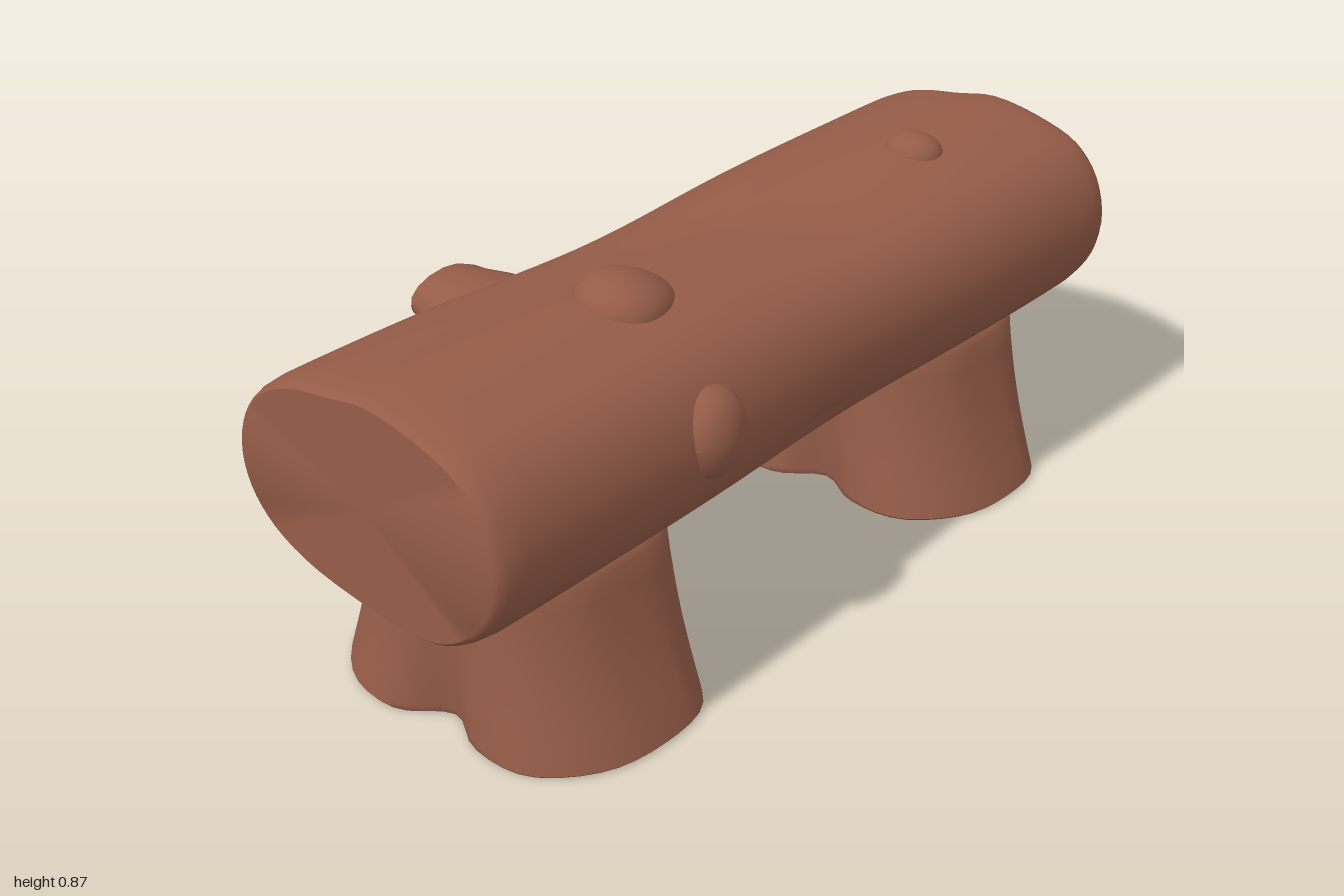
import * as THREE from 'three';
import { toCreasedNormals } from 'three/addons/utils/BufferGeometryUtils.js';

// Closed smooth outline through a few [a, b] points, resampled to n points
function outline(points, n) {
  const curve = new THREE.CatmullRomCurve3(points.map(([a, b]) => new THREE.Vector3(a, b, 0)), true);
  return Array.from({ length: n }, (_, i) => curve.getPoint(i / n));
}

// Skin a list of rings (equal numbers of Vector3) and cap both ends
function loft(rings, crease = 0.7) {
  const n = rings[0].length, pos = [], idx = [];
  for (const ring of rings) for (const p of ring) pos.push(p.x, p.y, p.z);
  for (let r = 0; r < rings.length - 1; r++) {
    for (let i = 0; i < n; i++) {
      const a = r * n + i, b = r * n + (i + 1) % n;
      idx.push(a, b, a + n, b, b + n, a + n);
    }
  }
  const cap = (start, ring, flip) => {
    const c = ring.reduce((s, p) => s.add(p), new THREE.Vector3()).divideScalar(n);
    const k = pos.length / 3;
    pos.push(c.x, c.y, c.z);
    for (let i = 0; i < n; i++) {
      const a = start + i, b = start + (i + 1) % n;
      if (flip) idx.push(k, b, a); else idx.push(k, a, b);
    }
  };
  cap(0, rings[0], true);
  cap((rings.length - 1) * n, rings[rings.length - 1], false);

  // Turn the faces outward if the enclosed volume is negative
  const v = (i) => new THREE.Vector3(pos[3 * i], pos[3 * i + 1], pos[3 * i + 2]);
  let volume = 0;
  for (let i = 0; i < idx.length; i += 3) volume += v(idx[i]).dot(v(idx[i + 1]).cross(v(idx[i + 2])));
  if (volume < 0) idx.reverse();

  const geo = new THREE.BufferGeometry();
  geo.setAttribute('position', new THREE.Float32BufferAttribute(pos, 3));
  geo.setIndex(idx);
  return toCreasedNormals(geo, crease);
}

const bump = (x, centre, width) => Math.exp(-(((x - centre) / width) ** 2));

// Log: an uneven oval section run along x, with a slight waist and dents
function logGeometry() {
  const section = outline([
    [0.03, 0.825], [0.18, 0.803], [0.28, 0.765], [0.34, 0.7], [0.37, 0.6], [0.355, 0.505],
    [0.3, 0.42], [0.21, 0.355], [0.1, 0.332], [0, 0.335], [-0.2, 0.362], [-0.31, 0.41],
    [-0.37, 0.475], [-0.39, 0.56], [-0.365, 0.65], [-0.3, 0.73], [-0.2, 0.782], [-0.08, 0.805],
  ], 64);
  const stations = [[-1, 0.94], [-0.993, 0.965], [-0.975, 0.985], [-0.94, 0.998]];
  for (let i = 0; i <= 44; i++) stations.push([-0.88 + i * 0.04, 1]);
  stations.push([0.94, 0.998], [0.978, 0.985], [0.994, 0.965], [1, 0.945]);
  return loft(stations.map(([x, s]) => section.map((p) => {
    const dz = p.x + 0.01, dy = p.y - 0.58;
    const waist = bump(x, dz < 0 ? -0.12 : 0.12, 0.36);
    const frontDent = dz > 0 ? 0.05 * bump(x, -0.03, 0.1) * bump(p.y, 0.465, 0.03) : 0;
    const backDent = dz < 0 ? 0.04 * bump(x, 0.62, 0.14) * bump(p.y, 0.5, 0.03)
      + 0.04 * bump(x, -0.7, 0.16) * bump(p.y, 0.46, 0.03) : 0;
    const k = s * (1 - frontDent - backDent);
    return new THREE.Vector3(x, 0.58 + dy * k * (1 - (dy > 0 ? 0.1 : 0.02) * waist),
      -0.01 + dz * k * (1 - 0.05 * waist));
  })));
}

// Stump: a plain oval on top flaring to a root outline with notched sides
function stumpGeometry() {
  const n = 60;
  const base = outline([
    [0, 0.4], [0.14, 0.375], [0.22, 0.25], [0.22, 0.12], [0.185, 0.04], [0.25, -0.04],
    [0.288, -0.17], [0.21, -0.34], [0.03, -0.4], [-0.16, -0.36], [-0.27, -0.24], [-0.285, -0.1],
    [-0.215, 0.01], [-0.265, 0.12], [-0.255, 0.26], [-0.14, 0.37],
  ], n);
  const top = outline([
    [0, 0.292], [0.13, 0.282], [0.19, 0.22], [0.2, 0.12], [0.2, 0.04], [0.2, -0.04],
    [0.2, -0.13], [0.15, -0.26], [0.02, -0.3], [-0.12, -0.285], [-0.21, -0.2], [-0.245, -0.09],
    [-0.245, 0.01], [-0.24, 0.1], [-0.21, 0.2], [-0.12, 0.275],
  ], n);
  const levels = [[0, 0, 0.985], [0.006, 0, 1], [0.016, 0.03, 1], [0.07, 0.24, 1], [0.13, 0.46, 1],
    [0.19, 0.65, 1], [0.26, 0.82, 1], [0.34, 0.95, 1], [0.39, 1, 1], [0.41, 1, 0.97], [0.42, 1, 0.9]];
  return loft(levels.map(([y, t, s]) => base.map((p, i) => new THREE.Vector3(
    s * THREE.MathUtils.lerp(p.x, top[i].x, t), y,
    // front and back slope more evenly than the notched sides
    s * THREE.MathUtils.lerp(p.y, top[i].y, 0.55 * t + 0.45 * Math.min(1, y / 0.4))))));
}

// Knot: a flattened dome whose slope trails off to one side
function knotGeometry(trail) {
  const geo = new THREE.SphereGeometry(1, 28, 18);
  const p = geo.attributes.position;
  for (let i = 0; i < p.count; i++) {
    const x = p.getX(i), y = p.getY(i);
    if (x > 0) p.setX(i, x * (1 + trail * (1 - Math.max(y, 0))));
    p.setY(i, y > 0 ? Math.pow(y, 0.8) : y);
  }
  geo.computeVertexNormals();
  return geo;
}

// Cut branch: a short tapered stub with a softened rim
function stubGeometry() {
  const profile = [[0.13, -0.1], [0.115, 0], [0.092, 0.06], [0.085, 0.09], [0.078, 0.103], [0.06, 0.108], [0, 0.105]];
  return toCreasedNormals(new THREE.LatheGeometry(profile.map(([r, y]) => new THREE.Vector2(r, y)), 14), 0.6);
}

export function createModel() {
  const group = new THREE.Group();
  const bark = new THREE.MeshStandardMaterial({ color: 0x955c48 });
  bark.name = 'bark brown';
  const add = (name, geo, position, scale = [1, 1, 1], rotation = [0, 0, 0]) => {
    const mesh = new THREE.Mesh(geo, bark);
    mesh.name = name;
    mesh.position.set(...position);
    mesh.scale.set(...scale);
    mesh.rotation.set(...rotation);
    group.add(mesh);
  };

  add('log', logGeometry(), [0, 0, 0]);

  // Two supporting stumps
  const stump = stumpGeometry();
  add('rightStump', stump, [-0.615, 0, 0]);
  add('leftStump', stump, [0.605, 0, 0]);

  // Knots on the top and front
  add('largeTopKnot', knotGeometry(0.5), [-0.39, 0.79, 0.08], [0.092, 0.075, 0.1], [0.15, 0, 0]);
  add('smallTopKnot', knotGeometry(0.1), [0.605, 0.795, 0.07], [0.065, 0.056, 0.07], [0.1, 0, 0]);
  add('frontKnot', knotGeometry(0.1), [-0.41, 0.615, 0.32], [0.085, 0.083, 0.1], [Math.PI / 2, 0, 0]);

  // Cut branch on the back
  add('branchStub', stubGeometry(), [-0.435, 0.68, -0.295], [1.15, 1, 0.66], [-Math.PI / 2 + 0.15, 0, 0]);

  return group;
}
